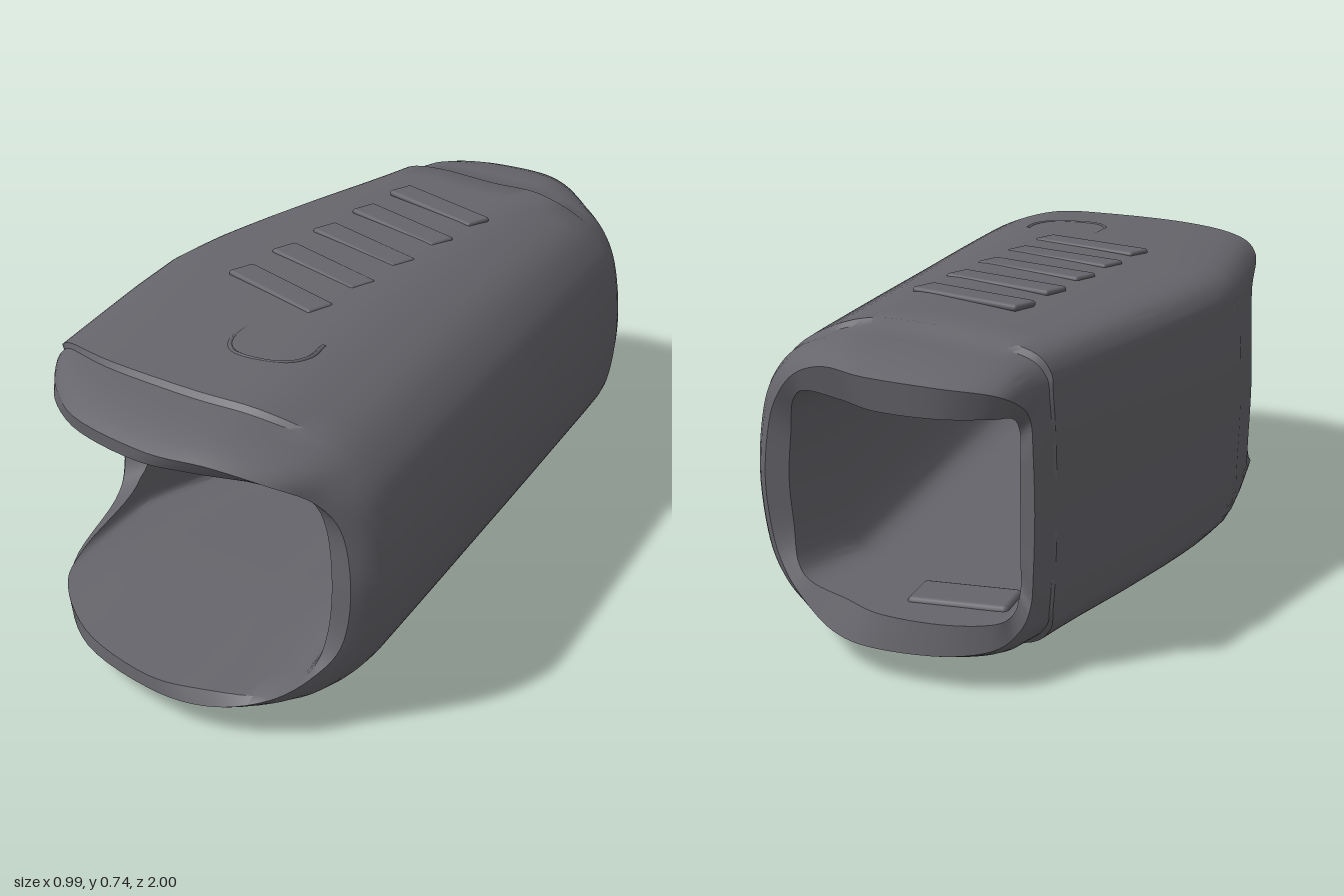
import * as THREE from 'three';
import { toCreasedNormals } from 'three/addons/utils/BufferGeometryUtils.js';
import { RoundedBoxGeometry } from 'three/addons/geometries/RoundedBoxGeometry.js';

const MID_Y = 0.372;
const SIDES = 120;

// Upper half of the section, from the right wall over the top to the left wall:
// outer x, outer y, inner x, inner y, front seam z, front end z, back seam z, back end z
const SECTION = [
  [-1, 0, -1, 0, 0.33, 0.36, -0.80, -0.88],
  [-0.99, 0.45, -1, 0.45, 0.33, 0.36, -0.80, -0.88],
  [-0.975, 0.68, -1, 0.78, 0.40, 0.43, -0.80, -0.88],
  [-0.945, 0.82, -0.99, 0.96, 0.61, 0.65, -0.79, -0.92],
  [-0.82, 0.93, -0.88, 1, 0.67, 0.78, -0.78, -0.97],
  [-0.5, 0.98, -0.5, 1, 0.74, 0.92, -0.75, -0.998],
  [0, 1, 0, 1, 0.79, 0.995, -0.69, -0.975],
  [0.35, 0.99, 0.35, 1, 0.8, 0.99, -0.68, -0.91],
  [0.65, 0.87, 0.75, 0.98, 0.78, 0.95, -0.68, -0.84],
  [0.83, 0.7, 0.9, 0.82, 0.75, 0.89, -0.68, -0.81],
  [0.95, 0.45, 0.97, 0.5, 0.73, 0.86, -0.66, -0.79],
  [1, 0, 1, 0, 0.73, 0.86, -0.65, -0.79],
];

// Piecewise linear lookup through [z, value] pairs
function lookup(pairs, z) {
  if (z <= pairs[0][0]) return pairs[0][1];
  for (let i = 1; i < pairs.length; i++) {
    const [z0, v0] = pairs[i - 1], [z1, v1] = pairs[i];
    if (z <= z1) return v0 + (v1 - v0) * (z - z0) / (z1 - z0);
  }
  return pairs[pairs.length - 1][1];
}

const OUTER_RIGHT = [[-0.85, -0.26], [-0.65, -0.31], [-0.4, -0.385], [-0.2, -0.44], [-0.05, -0.475],
  [0.1, -0.497], [0.3, -0.488], [0.6, -0.465], [0.8, -0.45]];
const OUTER_LEFT = [[-0.8, 0.45], [-0.65, 0.46], [0, 0.48], [0.73, 0.495]];
const INNER_RIGHT = [[-0.88, -0.21], [0.2, -0.32], [0.38, -0.4], [0.9, -0.41]];
const INNER_LEFT = [[-0.8, 0.36], [-0.6, 0.3], [0.75, 0.37], [0.86, 0.39]];
const INNER_HALF = [[-0.8, 0.224], [0.6, 0.24], [1, 0.268]];

function outerPoint(p, z, sx, sy) {
  const l = lookup(OUTER_RIGHT, z), r = lookup(OUTER_LEFT, z);
  const half = 0.35 + 0.016 * Math.cos(1.8 * z);
  return [(l + r) / 2 + p[0] * sx * (r - l) / 2, MID_Y + p[1] * sy * half, z];
}

function innerPoint(p, z) {
  const l = lookup(INNER_RIGHT, z), r = lookup(INNER_LEFT, z);
  return [(l + r) / 2 + p[2] * (r - l) / 2, MID_Y + p[3] * lookup(INNER_HALF, z), z];
}

// Closed section samples with all eight values interpolated together
function sampleSection() {
  const lower = SECTION.slice(1, -1).reverse().map((p) => p.map((v, i) => (i === 1 || i === 3 ? -v : v)));
  const all = [...SECTION, ...lower];
  const curves = [[0, 1, 2], [3, 4, 5], [6, 7, 7]].map((k) => new THREE.CatmullRomCurve3(
    all.map((p) => new THREE.Vector3(p[k[0]], p[k[1]], p[k[2]])), true, 'catmullrom', 0.5));
  return Array.from({ length: SIDES }, (_, i) => {
    const [a, b, c] = curves.map((curve) => curve.getPoint(i / SIDES));
    return [a.x, a.y, a.z, b.x, b.y, b.z, c.x, c.y];
  });
}

// Hollow sleeve: out along the outside, round the front lip, back along the inside
function sleeveGeometry() {
  const section = sampleSection();
  const mix = THREE.MathUtils.lerp;
  const rows = [];

  // Lips step in at the seam, except on the left wall, and round off at the tip
  const lipRow = (seam, end, t) => rows.push(section.map((p) => {
    const step = 1 - THREE.MathUtils.smoothstep(p[0], 0.4, 0.9);
    const bend = t ** 3;
    return outerPoint(p, mix(p[seam], p[end], t),
      mix(1 - 0.015 * step, 0.92 - 0.04 * p[0], bend), mix(1 - 0.035 * step, 0.86, bend));
  }));
  const lipSteps = [0.06, 0.35, 0.6, 0.8, 0.92, 1];

  for (const t of [...lipSteps].reverse()) lipRow(6, 7, t);
  for (let k = 0; k <= 16; k++) {
    rows.push(section.map((p) => outerPoint(p, mix(p[6], p[4], k / 16), 1, 1)));
  }
  for (const t of lipSteps) lipRow(4, 5, t);

  // Inside: front lip to a straight ring, through the bore, then out to the back lip
  const innerRows = (count, from, to) => {
    for (let k = 0; k < count; k++) {
      rows.push(section.map((p) => innerPoint(p, mix(from(p), to(p), k / count))));
    }
  };
  const frontRing = () => 0.2, backRing = () => -0.6, backLip = (p) => p[7] + 0.01;
  innerRows(8, (p) => p[5] - 0.01, frontRing);
  innerRows(4, frontRing, backRing);
  innerRows(4, backRing, backLip);
  innerRows(1, backLip, backLip);

  const index = [];
  for (let r = 0; r < rows.length; r++) {
    const next = (r + 1) % rows.length;
    for (let i = 0; i < SIDES; i++) {
      const j = (i + 1) % SIDES;
      const a = r * SIDES + i, b = next * SIDES + i, c = r * SIDES + j, d = next * SIDES + j;
      index.push(a, b, c, b, d, c);
    }
  }
  const geometry = new THREE.BufferGeometry();
  geometry.setAttribute('position', new THREE.Float32BufferAttribute(rows.flat(2), 3));
  geometry.setIndex(index);
  return toCreasedNormals(geometry, 0.7);
}

export function createModel() {
  const model = new THREE.Group();
  model.name = 'hollowSleeve';
  const plastic = new THREE.MeshStandardMaterial({ color: 0x66656b });
  plastic.name = 'dark grey plastic';

  const add = (name, geometry, x, y, z, turn = 0) => {
    const mesh = new THREE.Mesh(geometry, plastic);
    mesh.name = name;
    mesh.position.set(x, y, z);
    mesh.rotation.y = turn;
    model.add(mesh);
  };

  add('sleeveShell', sleeveGeometry(), 0, 0, 0);

  // Thumb catch outline, a U that opens to the back
  const catchPath = new THREE.CatmullRomCurve3([
    [-0.1, -0.1], [-0.1, 0.05], [-0.06, 0.1], [0.06, 0.1], [0.1, 0.05], [0.1, -0.02],
  ].map(([x, z]) => new THREE.Vector3(x, 0, z)));
  const catchGeometry = new THREE.TubeGeometry(catchPath, 30, 0.006, 6);
  const ribGeometry = new RoundedBoxGeometry(0.32, 0.016, 0.075, 3, 0.008);
  const padGeometry = new RoundedBoxGeometry(0.23, 0.026, 0.12, 2, 0.012);

  // Grip ribs, catch and inner pads, mirrored top to bottom
  for (const [side, s] of [['top', 1], ['bottom', -1]]) {
    for (let i = 0; i < 5; i++) {
      add(`${side}GripRib${i + 1}`, ribGeometry, 0.03 - 0.025 * i, MID_Y + s * 0.362, -0.44 + 0.17 * i, -0.42);
    }
    add(`${side}Catch`, catchGeometry, 0.07, MID_Y + s * 0.355, 0.49);
    add(`${side}InnerPad`, padGeometry, -0.07, MID_Y + s * 0.226, -0.82);
  }
  return model;
}
